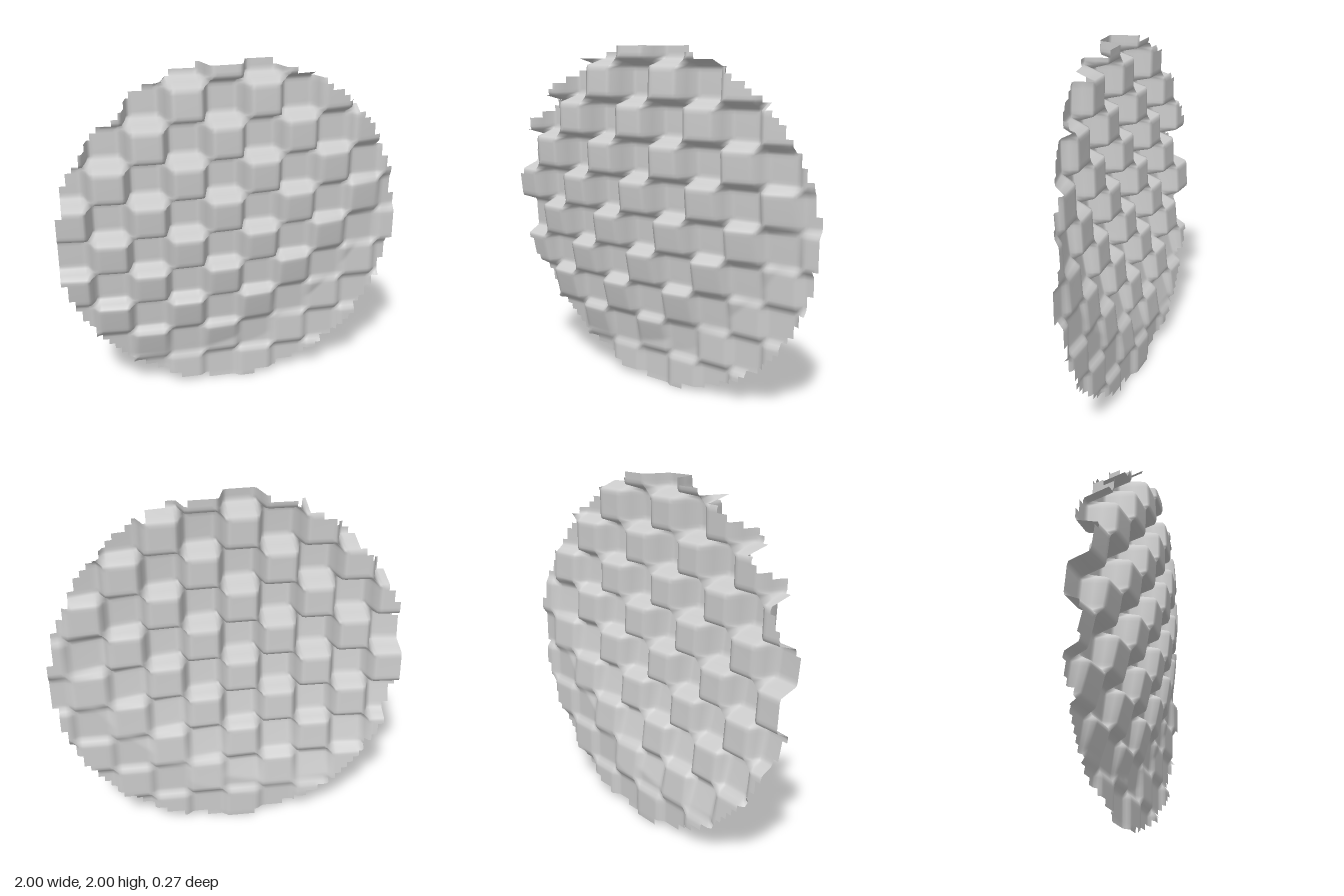
import * as THREE from 'three';

const N = 112;            // fine grid squares across the disc
const RIM = 56;           // coarser squares that form the stepped rim
const PITCH = 12 / 56;    // width of one checker block
const WALL = 0.02;        // half the width of a wall between blocks
const FLOOR = -0.14;      // deepest level
const { abs, max, floor, round } = Math;

// Shallow dome with its peak at the upper right side of the model
const dome = (x, y) => 0.135 - 0.125 * ((x + 0.39) ** 2 + (y - 0.62) ** 2);

// Raised blocks follow the dome and flatten out at the far rim
const raised = (x, y) => max(FLOOR + 0.03, dome(x, y));

// Sunken blocks follow a flatter copy of the dome
const sunken = (x, y) => FLOOR + 0.4 * max(0, dome(x, y) - FLOOR);

// Checker mask: 1 on raised blocks, 0 on sunken ones. Around each block corner
// the walls bend diagonally, so that they run as continuous staircases.
function mask(x, y) {
  const p = (x - 2 / 56) / PITCH, q = (y - 3 / 56) / PITCH;
  const slope = t => THREE.MathUtils.clamp((t - round(t)) * PITCH / WALL, -1, 1);
  const across = abs(slope(p) - slope(q)) / 2;
  return (round(p) + round(q)) % 2 === 0 ? across : 1 - across;
}

// A square belongs to the disc when its rim square lies in the circle
const rimCentre = i => -1 + (2 * floor(i * RIM / N) + 1) / RIM;
const inDisc = (i, j) => Math.hypot(rimCentre(i) + 0.007, rimCentre(j) - 0.007) < 1;

function reliefGeometry() {
  const positions = [], index = [], ids = new Map();

  // Shared grid vertex, created when first used
  const vertex = (i, j) => {
    const key = i * (N + 1) + j;
    if (!ids.has(key)) {
      const x = -1 + 2 * i / N, y = -1 + 2 * j / N;
      const z = THREE.MathUtils.lerp(sunken(x, y), raised(x, y), mask(x, y));
      ids.set(key, positions.length / 3);
      positions.push(x, y + 1, z);
    }
    return ids.get(key);
  };

  for (let i = 0; i < N; i++) {
    for (let j = 0; j < N; j++) {
      if (!inDisc(i, j)) continue;
      const a = vertex(i, j), b = vertex(i + 1, j);
      const c = vertex(i + 1, j + 1), d = vertex(i, j + 1);
      index.push(a, b, c, a, c, d);
    }
  }

  const geometry = new THREE.BufferGeometry();
  geometry.setAttribute('position', new THREE.Float32BufferAttribute(positions, 3));
  geometry.setIndex(index);
  geometry.computeVertexNormals();
  return geometry;
}

export function createModel() {
  const group = new THREE.Group();
  group.name = 'checkerReliefDisc';
  const material = new THREE.MeshStandardMaterial({ color: 0xcccccc, side: THREE.DoubleSide });
  const disc = new THREE.Mesh(reliefGeometry(), material);
  disc.name = 'reliefSheet';
  group.add(disc);
  return group;
}
